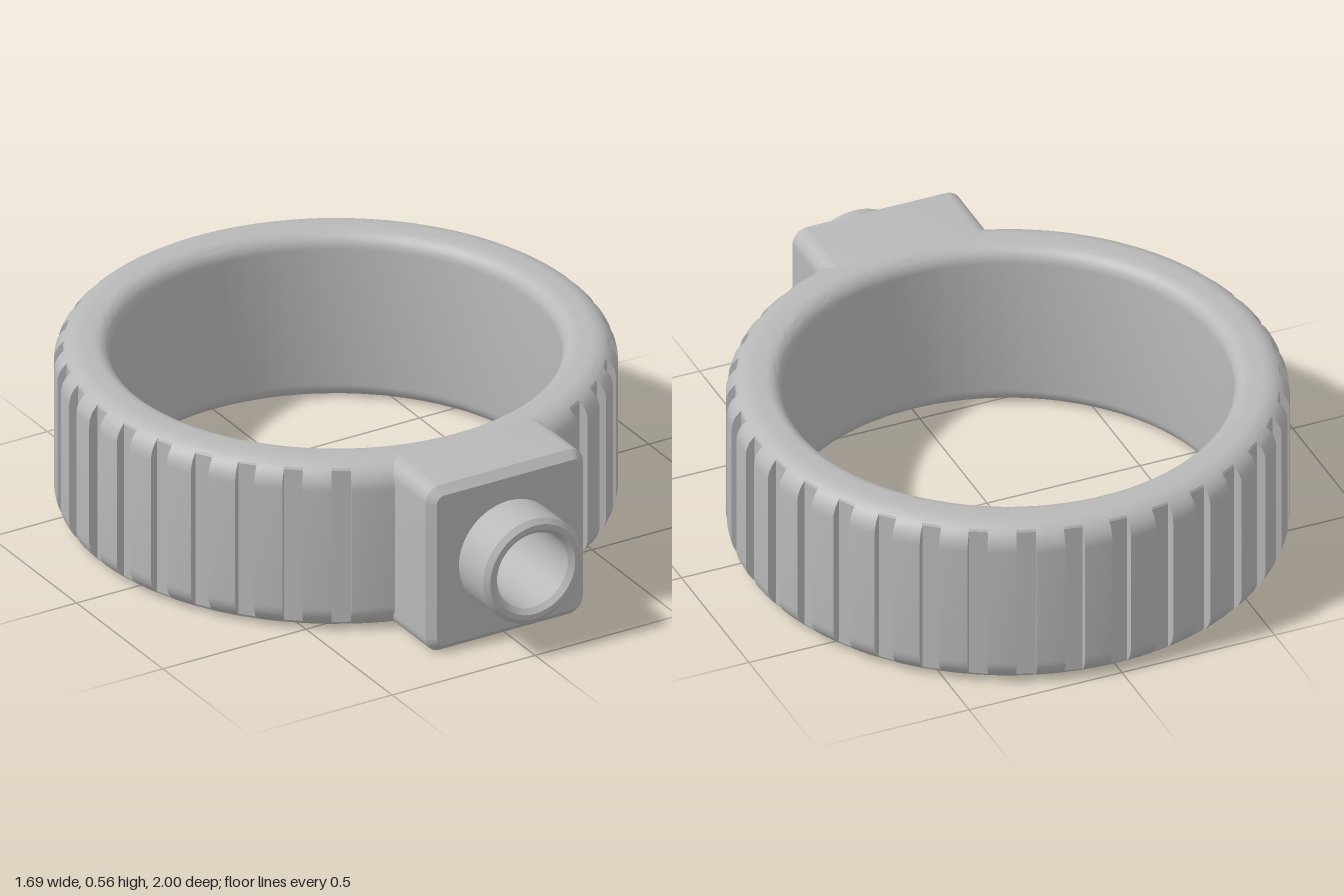
import * as THREE from 'three';
import { toCreasedNormals } from 'three/addons/utils/BufferGeometryUtils.js';

const HEIGHT = 0.555, R_IN = 0.677, R_OUT = 0.845, RING_Z = -0.155;

// Closed (radius, y) cross-section of the band, with rounded edges
function bandProfile() {
  const pts = [];
  const fillet = (r, y, rad, start, n) => {
    for (let i = 0; i <= n; i++) {
      const a = start + (i / n) * Math.PI / 2;
      pts.push([r + rad * Math.cos(a), y + rad * Math.sin(a)]);
    }
  };
  const o = 0.08, f = 0.05;
  fillet(R_OUT - o, o, o, -Math.PI / 2, 12);
  fillet(R_OUT - o, HEIGHT - o, o, 0, 12);
  fillet(R_IN + f, HEIGHT - f, f, Math.PI / 2, 8);
  fillet(R_IN + f, f, f, Math.PI, 8);
  return pts;
}

// Sweep the cross-section round the axis, trimming its radius inside each grip groove
function bandGeometry() {
  const profile = bandProfile(), sections = [], pos = [];
  const count = 36, step = 2 * Math.PI / count, half = 0.03 / R_OUT, floor = 0.817;
  const section = (angle, limit) => sections.push(profile.map(([r, y]) => {
    const q = Math.min(r, limit);
    return new THREE.Vector3(q * Math.sin(angle), y, q * Math.cos(angle));
  }));
  for (let i = 0; i < count; i++) {
    const a = i * step, grooved = i >= 3 && i <= count - 3;
    section(a - half, R_OUT);
    if (grooved) {
      section(a - half, floor);
      section(a + half, floor);
    }
    for (let k = 0; k < 4; k++) section(a + half + (k / 4) * (step - 2 * half), R_OUT);
  }
  const triangle = (a, b, c) => {
    const area = b.clone().sub(a).cross(c.clone().sub(a)).length();
    if (area > 1e-9) for (const p of [a, b, c]) pos.push(p.x, p.y, p.z);
  };
  sections.forEach((s, i) => {
    const t = sections[(i + 1) % sections.length];
    for (let j = 0; j < s.length; j++) {
      const k = (j + 1) % s.length;
      triangle(s[j], t[j], t[k]);
      triangle(s[j], t[k], s[k]);
    }
  });
  const geo = new THREE.BufferGeometry();
  geo.setAttribute('position', new THREE.Float32BufferAttribute(pos, 3));
  return toCreasedNormals(geo, 0.4);
}

// Rounded block with chamfered front and a socket for the tube
function blockGeometry() {
  const w = 0.275, h = HEIGHT / 2, r = 0.05;
  const shape = new THREE.Shape();
  shape.moveTo(-w + r, -h);
  shape.lineTo(w - r, -h).absarc(w - r, -h + r, r, -Math.PI / 2, 0);
  shape.lineTo(w, h - r).absarc(w - r, h - r, r, 0, Math.PI / 2);
  shape.lineTo(-w + r, h).absarc(-w + r, h - r, r, Math.PI / 2, Math.PI);
  shape.lineTo(-w, -h + r).absarc(-w + r, -h + r, r, Math.PI, Math.PI * 1.5);
  shape.holes.push(new THREE.Path().absarc(0, 0, 0.135, 0, Math.PI * 2, true));
  const geo = new THREE.ExtrudeGeometry(shape, {
    depth: 0.245, bevelEnabled: true, bevelThickness: 0.025, bevelSize: 0.025,
    bevelOffset: -0.025, bevelSegments: 1, curveSegments: 12,
  });
  return toCreasedNormals(geo, 0.4);
}

// Hollow tube with chamfered lips and a closed bore
function tubeGeometry() {
  const pts = [[0.173, 0.7], [0.173, 0.985], [0.157, 1], [0.14, 1], [0.124, 0.985], [0.124, 0.6], [0, 0.6]];
  const geo = new THREE.LatheGeometry(pts.map(([x, y]) => new THREE.Vector2(x, y)), 64);
  geo.rotateX(Math.PI / 2);
  return toCreasedNormals(geo, 0.4);
}

export function createModel() {
  const group = new THREE.Group();
  group.name = 'grippedCollar';
  const grey = new THREE.MeshStandardMaterial({ color: 0xb8b8b8 });
  grey.name = 'grey';
  const add = (name, geo, y, z) => {
    const mesh = new THREE.Mesh(geo, grey);
    mesh.name = name;
    mesh.position.set(0, y, z);
    group.add(mesh);
  };
  add('groovedBand', bandGeometry(), 0, RING_Z);
  add('mountingBlock', blockGeometry(), HEIGHT / 2, 0.575);
  add('tube', tubeGeometry(), 0.28, 0);
  return group;
}
